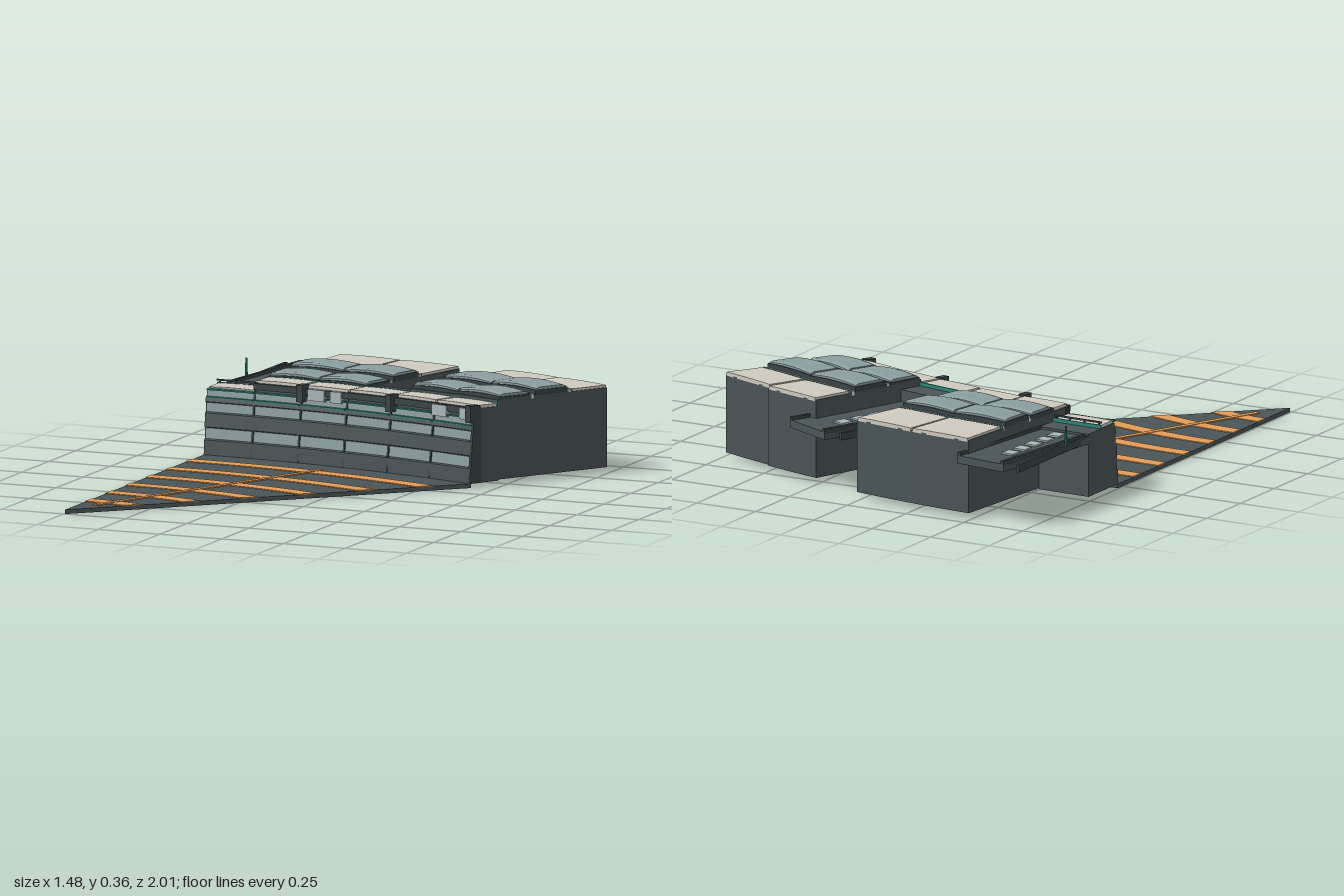
import * as THREE from 'three';

const mat = (color) => new THREE.MeshStandardMaterial({ color, flatShading: true, side: THREE.DoubleSide });

// Plan maps: (u across 0..1, d depth) -> [x, z]
const APEX = [-0.745, 1.0], R = 1.28, BEND = 3.1, SWING = 0.2945;
const floorMap = (u, r) => {
  const t = u * SWING;
  return [APEX[0] + r * BEND * Math.sin(t), APEX[1] - r * (1 - BEND * (1 - Math.cos(t)))];
};
const wingMap = (u, d) => {
  const [x, z] = floorMap(u, R), a = u * 0.576;
  return [x + d * Math.sin(a), z - d * Math.cos(a)];
};
// Straight strip from p to q
const beamMap = (p, q, w) => {
  const dx = q[0] - p[0], dz = q[1] - p[1], l = Math.hypot(dx, dz);
  return (u, d) => [p[0] + dx * d - (dz / l) * w * (u - 0.5), p[1] + dz * d + (dx / l) * w * (u - 0.5)];
};

// Sweep a closed (depth, height) profile across u0..u1; crown lifts the middle of the upper points
function sweep(map, profile, u0, u1, n = 1, crown = 0) {
  const pts = profile.map(([d, y]) => new THREE.Vector2(d, y));
  if (THREE.ShapeUtils.area(pts) < 0) pts.reverse();
  const mid = (Math.min(...pts.map((p) => p.y)) + Math.max(...pts.map((p) => p.y))) / 2;
  const at = (p, i) => {
    const [x, z] = map(u0 + ((u1 - u0) * i) / n, p.x);
    return [x, p.y + (p.y > mid ? crown * Math.sin((Math.PI * i) / n) : 0), z];
  };
  const pos = [];
  const tri = (a, b, c) => pos.push(...a, ...b, ...c);
  for (let i = 0; i < n; i++) {
    pts.forEach((a, k) => {
      const b = pts[(k + 1) % pts.length];
      tri(at(a, i), at(b, i), at(b, i + 1));
      tri(at(a, i), at(b, i + 1), at(a, i + 1));
    });
  }
  for (const [a, b, c] of THREE.ShapeUtils.triangulateShape(pts, [])) {
    tri(at(pts[a], n), at(pts[b], n), at(pts[c], n));
    tri(at(pts[c], 0), at(pts[b], 0), at(pts[a], 0));
  }
  const g = new THREE.BufferGeometry();
  g.setAttribute('position', new THREE.Float32BufferAttribute(pos, 3));
  g.computeVertexNormals();
  return g;
}
const rect = (d0, d1, y0, y1) => [[d0, y0], [d1, y0], [d1, y1], [d0, y1]];

export function createModel() {
  const model = new THREE.Group();
  const dark = mat(0x4a5457), deep = mat(0x3a4346), glass = mat(0x8b9da0), beige = mat(0xcfc9be);
  const orange = mat(0xe39c58), teal = mat(0x2f8579), pale = mat(0xe6ebea), pane = mat(0xa9b7b9);
  const add = (name, geo, m, parent = model) => {
    const mesh = new THREE.Mesh(geo, m);
    mesh.name = name;
    parent.add(mesh);
    return mesh;
  };
  const beam = (name, p, q, w, y0, y1, m, parent) =>
    add(name, sweep(beamMap(p, q, w), rect(0, 1, y0, y1), 0, 1), m, parent);

  // Wedge forecourt with curved stripes and a centre line
  add('forecourt', sweep(floorMap, rect(0.002, 1.285, 0, 0.016), 0, 1, 18), dark);
  for (let i = 0; i < 6; i++) {
    const r = 0.243 + i * 0.185;
    add('floorStripe', sweep(floorMap, rect(r - 0.056, r, 0.015, 0.019), 0, 1, 18), orange);
  }
  beam('centreLine', [-0.68, 0.87], [-0.21, -0.15], 0.022, 0.015, 0.0205, orange);

  // Six facade bays
  const tops = [0.262, 0.3, 0.298, 0.3, 0.302, 0.302];
  const slope = (y) => y * 0.1;
  for (let s = 0; s < 6; s++) {
    const bay = new THREE.Group();
    bay.name = 'facadeBay' + (s + 1);
    model.add(bay);
    const a = s / 6, b = (s + 1) / 6, top = tops[s], g = 0.004;
    const back = s === 0 || s === 3 ? 0.22 : 0.13;
    add('facadeWall', sweep(wingMap, [
      [0, 0.016], [0.002, 0.072], [0.01, 0.076], [0.014, 0.116], [0.008, 0.12], [0.012, 0.172],
      [0.02, 0.176], [0.023, 0.21], [0.016, 0.214], [0.019, 0.23], [0.028, 0.234], [0.03, top - 0.006],
      [back, top - 0.006], [back, 0.016]], a, b, 4), dark, bay);
    for (const [y0, y1] of [[0.077, 0.116], [0.177, 0.21], [0.234, 0.258]])
      add('windowBand', sweep(wingMap, [[slope(y0), y0], [0.04, y0], [0.04, y1], [slope(y1), y1]], a + g, b - g, 4), glass, bay);
    for (const y of [0.228, 0.258])
      add('tealLine', sweep(wingMap, rect(0.014, 0.04, y, y + 0.005), a + g, b - g, 4), teal, bay);
    if (s > 0) add('parapet', sweep(wingMap, rect(0.018, 0.034, 0.272, top - 0.004), a, b, 4), deep, bay);
    add('frontRoof', sweep(wingMap, rect(0.037, 0.124, top - 0.01, top + 0.005), a + g, b - g, 4, 0.002), beige, bay);
    add('roofEdge', sweep(wingMap, rect(0.124, 0.13, top - 0.01, top + 0.008), a, b, 4), teal, bay);
    // Upper windows beside dark brackets
    if (s === 2 || s === 5) {
      const o = s === 2 ? 0.03 : 0;
      add('upperWindow', sweep(wingMap, rect(0.012, 0.03, 0.252, 0.295), a + o, a + 0.06 + o, 2), pane, bay);
      add('upperWindow', sweep(wingMap, rect(0.012, 0.03, 0.252, 0.295), b - 0.055, b - 0.015, 2), pane, bay);
    }
    if (s === 2 || s === 4 || s === 5) {
      const u = s === 5 ? b - 0.016 : a - 0.004;
      add('bracket', sweep(wingMap, rect(-0.002, 0.04, 0.245, 0.31), u, u + 0.022), deep, bay);
    }
    // Thin rib between bays
    if (s > 0) add('rib', sweep(wingMap, [[-0.002, 0.016], [0.018, 0.225], [0.03, 0.29], [0.05, 0.29], [0.05, 0.016]],
      a - 0.003, a + 0.003), deep, bay);
  }
  add('endRib', sweep(wingMap, [[-0.002, 0.016], [0.02, 0.3], [0.05, 0.3], [0.05, 0.016]], 0.994, 1.003), deep);

  // Two wings, each of two bays with stepped vaulted roofs
  const bays = [[1, 0.67, 0.298], [2, 0.67, 0.298], [4, 0.62, 0.318], [5, 0.61, 0.32]];
  for (const [s, depth, h] of bays) {
    const wing = new THREE.Group();
    wing.name = 'wingBay' + s;
    model.add(wing);
    const a = s / 6, b = (s + 1) / 6, g = 0.003;
    add('wingWall', sweep(wingMap, rect(0.125, depth, 0.02, h), a, b, 4), dark, wing);
    const tiers = [['frontVault', 0.14, 0.265, h + 0.018], ['rearVault', 0.3, 0.43, h + 0.028]];
    for (const [name, d0, d1, y] of tiers) {
      add(name + 'Base', sweep(wingMap, rect(d0 - 0.006, d1 + 0.006, h - 0.01, y - 0.008), a, b, 8, 0.005), deep, wing);
      add(name, sweep(wingMap, [[d0, h], [d1, h], [d1, y - 0.003], [d1 - 0.015, y + 0.002], [d0 + 0.015, y + 0.002], [d0, y - 0.003]],
        a + g, b - g, 8, 0.008), glass, wing);
      add('paleTrim', sweep(wingMap, rect(d1 + 0.01, d1 + 0.02, h - 0.01, h + 0.007), a, b, 4), pale, wing);
      add('tealTrim', sweep(wingMap, rect(d1 + 0.02, d1 + 0.024, h - 0.01, h + 0.009), a, b, 4), teal, wing);
    }
    add('backRoof', sweep(wingMap, rect(0.46, depth, h - 0.005, h + 0.009), a + g, b - g, 4, 0.002), beige, wing);
  }

  // Raised walkways with five skylights and a side rail
  const walks = [
    { p: [-0.638, -0.48], q: [-0.568, -0.998], w: 0.215, s0: [-0.635, -0.55], s1: [-0.62, -0.86], r0: [-0.732, -0.5], r1: [-0.729, -1] },
    { p: [0.015, -0.42], q: [0.235, -0.89], w: 0.225, s0: [0.03, -0.48], s1: [0.145, -0.78], r0: [-0.08, -0.56], r1: [0.075, -0.92] },
  ];
  walks.forEach(({ p, q, w, s0, s1, r0, r1 }, k) => {
    const walk = new THREE.Group();
    walk.name = 'walkway' + (k + 1);
    model.add(walk);
    beam('deck', p, q, w, 0.218, 0.248, dark, walk);
    for (const side of [-1, 1]) {
      const map = beamMap(p, q, w);
      const u = side < 0 ? 0.03 : 0.97;
      beam('deckCurb', map(u, 0.05), map(u, 1), 0.014, 0.24, 0.26, deep, walk);
    }
    const dx = s1[0] - s0[0], dz = s1[1] - s0[1], l = Math.hypot(dx, dz);
    for (let i = 0; i < 5; i++) {
      const c = [s0[0] + (dx * i) / 4, s0[1] + (dz * i) / 4], e = [(dx / l) * 0.025, (dz / l) * 0.025];
      beam('skylight', [c[0] - e[0], c[1] - e[1]], [c[0] + e[0], c[1] + e[1]], 0.05, 0.24, 0.254, pane, walk);
    }
    beam('sideRail', r0, r1, 0.012, 0.222, 0.25, deep, walk);
  });

  // Handrail and mast over the first bay
  add('handrail', sweep(wingMap, rect(0.12, 0.126, 0.276, 0.282), 0, 1 / 6, 3), deep);
  for (const u of [0.01, 0.06, 0.11, 0.16])
    add('railPost', sweep(wingMap, rect(0.12, 0.126, 0.255, 0.28), u - 0.002, u + 0.002), deep);
  const mast = add('mast', new THREE.CylinderGeometry(0.004, 0.006, 0.075, 8), teal);
  mast.position.set(-0.737, 0.283, -0.655);
  return model;
}
